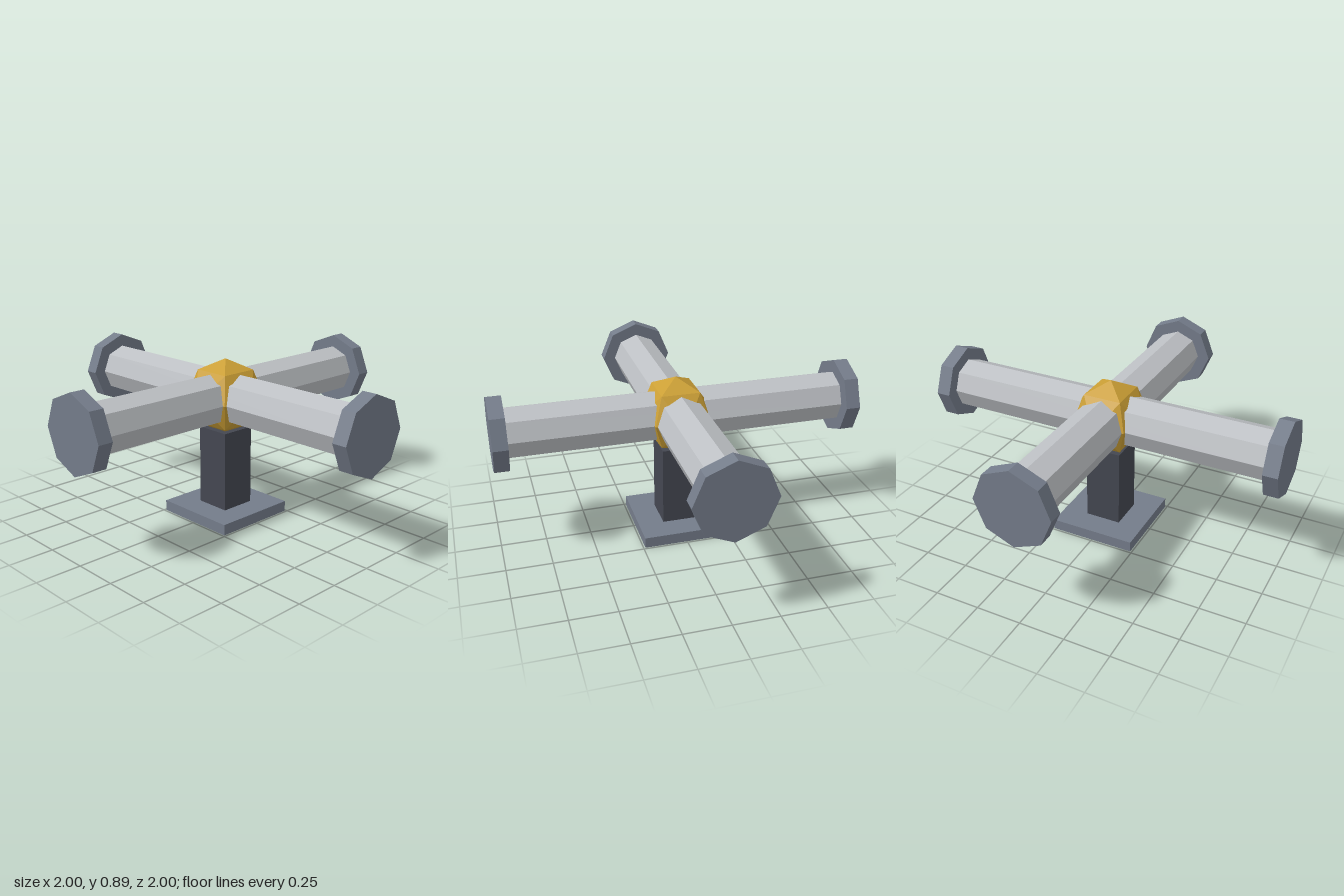
import * as THREE from 'three';

const material = (name, color) => {
  const m = new THREE.MeshStandardMaterial({ color, flatShading: true });
  m.name = name;
  return m;
};

export function createModel() {
  const model = new THREE.Group();
  model.name = 'crossPipeJunction';

  const pipeMetal = material('lightPipeMetal', 0xbdc0c4);
  const flangeMetal = material('blueGreyMetal', 0x747c8a);
  const columnMetal = material('darkColumnMetal', 0x444751);
  const brass = material('brass', 0xcb9f35);

  const centreY = 0.68;

  function add(name, geometry, mat, x, y, z) {
    const mesh = new THREE.Mesh(geometry, mat);
    mesh.name = name;
    mesh.position.set(x, y, z);
    model.add(mesh);
    return mesh;
  }

  // Square foot and supporting column
  add('basePlate', new THREE.BoxGeometry(0.48, 0.06, 0.48), flangeMetal, 0, 0.03, 0);
  add('column', new THREE.BoxGeometry(0.2, 0.445, 0.2), columnMetal, 0, 0.2825, 0);

  // Two crossing octagonal pipes, each with a flange at both ends
  for (const axis of ['x', 'z']) {
    const alongAxis = (radius, length) => {
      const g = new THREE.CylinderGeometry(radius, radius, length, 8);
      return axis === 'x' ? g.rotateZ(Math.PI / 2) : g.rotateX(Math.PI / 2);
    };
    add(`${axis}Pipe`, alongAxis(0.14, 1.88), pipeMetal, 0, centreY, 0);
    for (const side of [-1, 1]) {
      const flange = add(`${axis}Flange`, alongAxis(0.21, 0.08), flangeMetal, 0, centreY, 0);
      flange.position[axis] = side * 0.96;
    }
  }

  // Faceted brass hub showing between the pipes
  const hub = new THREE.OctahedronGeometry(0.212, 1).rotateY(Math.PI / 4);
  add('hub', hub, brass, 0, centreY, 0);

  return model;
}
